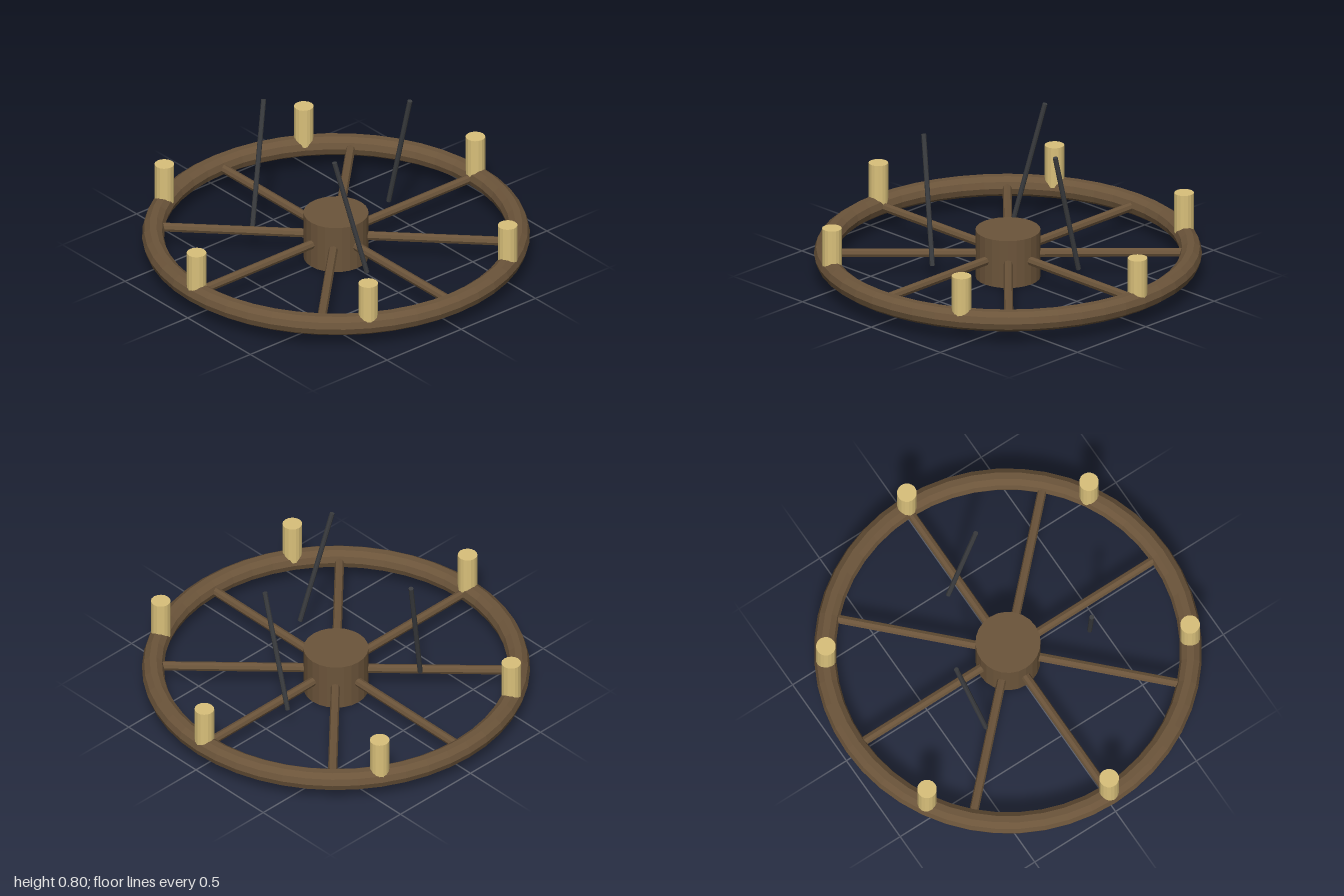
import * as THREE from 'three';

const makeMaterial = (name, color) => {
  const m = new THREE.MeshStandardMaterial({ color, flatShading: true });
  m.name = name;
  return m;
};

export function createModel() {
  const group = new THREE.Group();
  const wood = makeMaterial('wood', 0x6b543a);
  const wax = makeMaterial('wax', 0xd9c07a);
  const iron = makeMaterial('iron', 0x3a3c3f);
  const MID = 0.13; // height of the wheel's plane
  const RIM = 0.943;

  const add = (name, geometry, material) => {
    const mesh = new THREE.Mesh(geometry, material);
    mesh.name = name;
    group.add(mesh);
    return mesh;
  };

  // Round bar between two points
  const bar = (name, a, b, radius, sides, material) => {
    const dir = b.clone().sub(a);
    const mesh = add(name, new THREE.CylinderGeometry(radius, radius, dir.length(), sides), material);
    mesh.position.copy(a).add(b).multiplyScalar(0.5);
    mesh.quaternion.setFromUnitVectors(new THREE.Vector3(0, 1, 0), dir.normalize());
    return mesh;
  };

  // Wheel rim and hub
  const rim = add('rim', new THREE.TorusGeometry(RIM, 0.057, 10, 48).rotateX(Math.PI / 2), wood);
  rim.position.y = MID;
  const hub = add('hub', new THREE.CylinderGeometry(0.168, 0.168, 0.26, 24), wood);
  hub.position.y = MID;

  // Eight spokes from hub to rim
  for (let i = 0; i < 8; i++) {
    const a = (i * Math.PI) / 4;
    const at = (r) => new THREE.Vector3(Math.cos(a) * r, MID, Math.sin(a) * r);
    bar('spoke', at(0.1), at(0.93), 0.024, 8, wood);
  }

  // Six candles standing on the rim
  for (let i = 0; i < 6; i++) {
    const a = (i * Math.PI) / 3;
    const candle = add('candle', new THREE.CylinderGeometry(0.051, 0.051, 0.22, 16), wax);
    candle.position.set(Math.cos(a) * 0.94, 0.255, Math.sin(a) * 0.94);
  }

  // Three hanging rods, each leaning along the wheel's tangent
  for (let i = 0; i < 3; i++) {
    const a = (i * Math.PI * 2) / 3;
    const at = (t, y) => new THREE.Vector3(
      Math.cos(a) * 0.427 - Math.sin(a) * t, y,
      Math.sin(a) * 0.427 + Math.cos(a) * t);
    bar('hangingRod', at(-0.085, 0.135), at(0.085, 0.8), 0.013, 8, iron);
  }

  return group;
}
